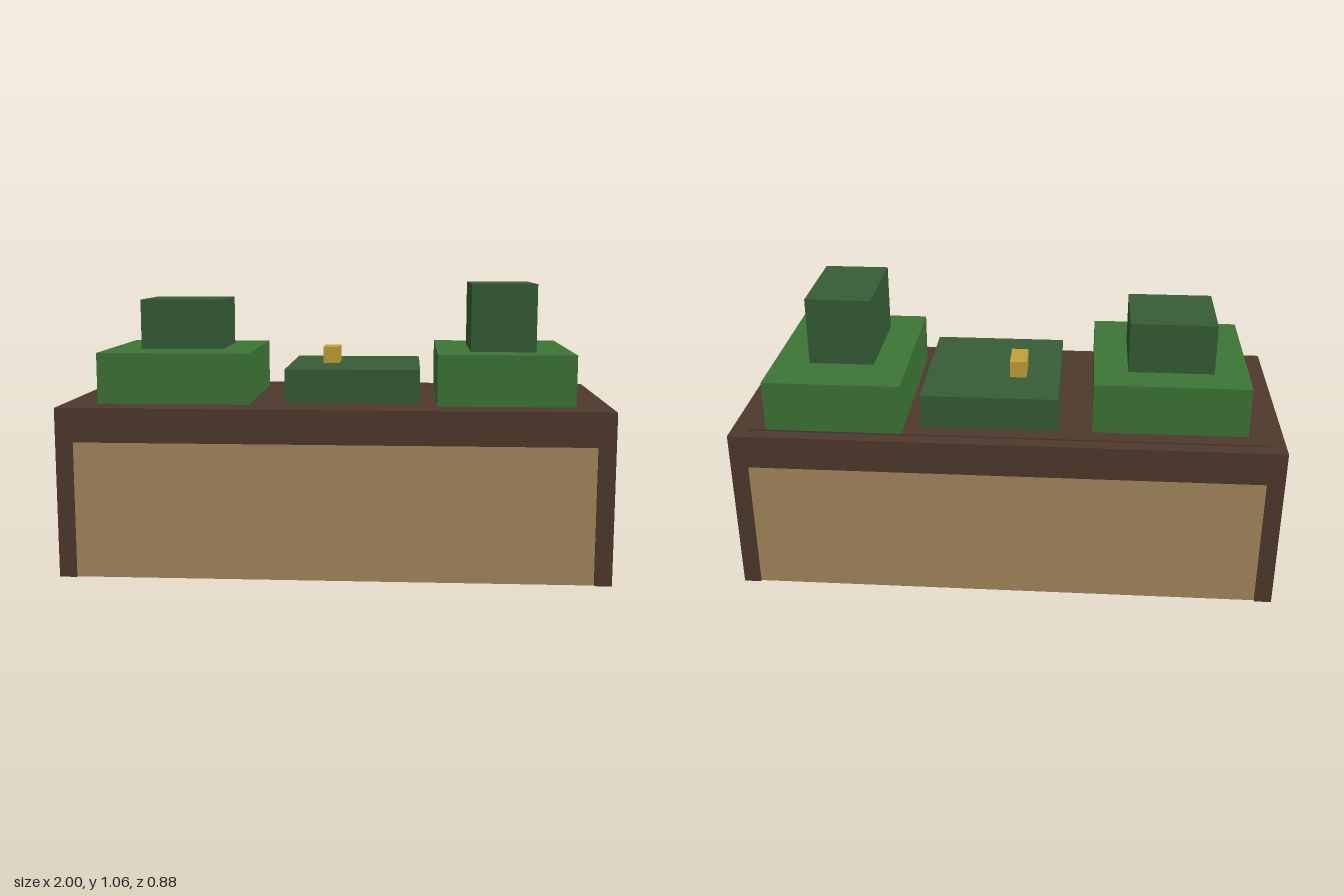
import * as THREE from 'three';

const mat = (name, color) => {
  const m = new THREE.MeshStandardMaterial({ color });
  m.name = name;
  return m;
};

export function createModel() {
  const brown = mat('dark wood', 0x4e392d);
  const tan = mat('light wood', 0xa5895c);
  const green = mat('leaf green', 0x3c7634);
  const darkGreen = mat('dark green', 0x355d35);
  const gold = mat('gold', 0xc3a136);
  const pale = mat('pale grey', 0xc8c8c2);

  const model = new THREE.Group();
  model.name = 'benchDisplay';

  // Adds a box given its extents on each axis
  const box = (name, material, [x0, x1], [y0, y1], [z0, z1]) => {
    const mesh = new THREE.Mesh(new THREE.BoxGeometry(x1 - x0, y1 - y0, z1 - z0), material);
    mesh.position.set((x0 + x1) / 2, (y0 + y1) / 2, (z0 + z1) / 2);
    mesh.name = name;
    model.add(mesh);
  };

  // Bench frame, open at the bottom
  const inner = [-0.9375, 0.9375];
  box('leftSide', brown, [0.9375, 1], [0, 0.625], [-0.4375, 0.4375]);
  box('rightSide', brown, [-1, -0.9375], [0, 0.625], [-0.4375, 0.4375]);
  box('frontRail', brown, inner, [0.5, 0.625], [0.375, 0.4375]);
  box('backRail', brown, inner, [0.5, 0.625], [-0.4375, -0.385]);
  // The top stops short of the back rail, leaving a narrow slot
  box('top', brown, inner, [0.572, 0.625], [-0.375, 0.375]);

  // Light wood lining
  box('ceilingBoard', tan, inner, [0.5625, 0.572], [-0.385, 0.375]);
  box('frontPanel', tan, inner, [0, 0.5], [0.42, 0.43]);
  box('backPanel', tan, inner, [0, 0.5], [-0.43, -0.42]);

  // Stacked blocks on the right-hand end
  box('rightBase', green, [-0.875, -0.3125], [0.625, 0.8125], [-0.3125, 0.3125]);
  box('rightBlock', darkGreen, [-0.75, -0.4375], [0.8125, 1], [-0.1875, 0.125]);

  // Low block with a gold stud
  box('middleBlock', darkGreen, [-0.1875, 0.3125], [0.625, 0.75], [-0.3125, 0.25]);
  box('goldStud', gold, [-0.0625, 0], [0.75, 0.8125], [-0.125, 0]);

  // Tall stack with a pale plate on its outer face
  box('leftBase', green, [0.375, 0.875], [0.625, 0.8125], [-0.375, 0.3125]);
  box('leftTower', darkGreen, [0.5, 0.741], [0.8125, 1.0625], [-0.1875, 0.1875]);
  box('sidePlate', pale, [0.741, 0.75], [0.875, 0.9375], [-0.125, 0]);

  return model;
}
